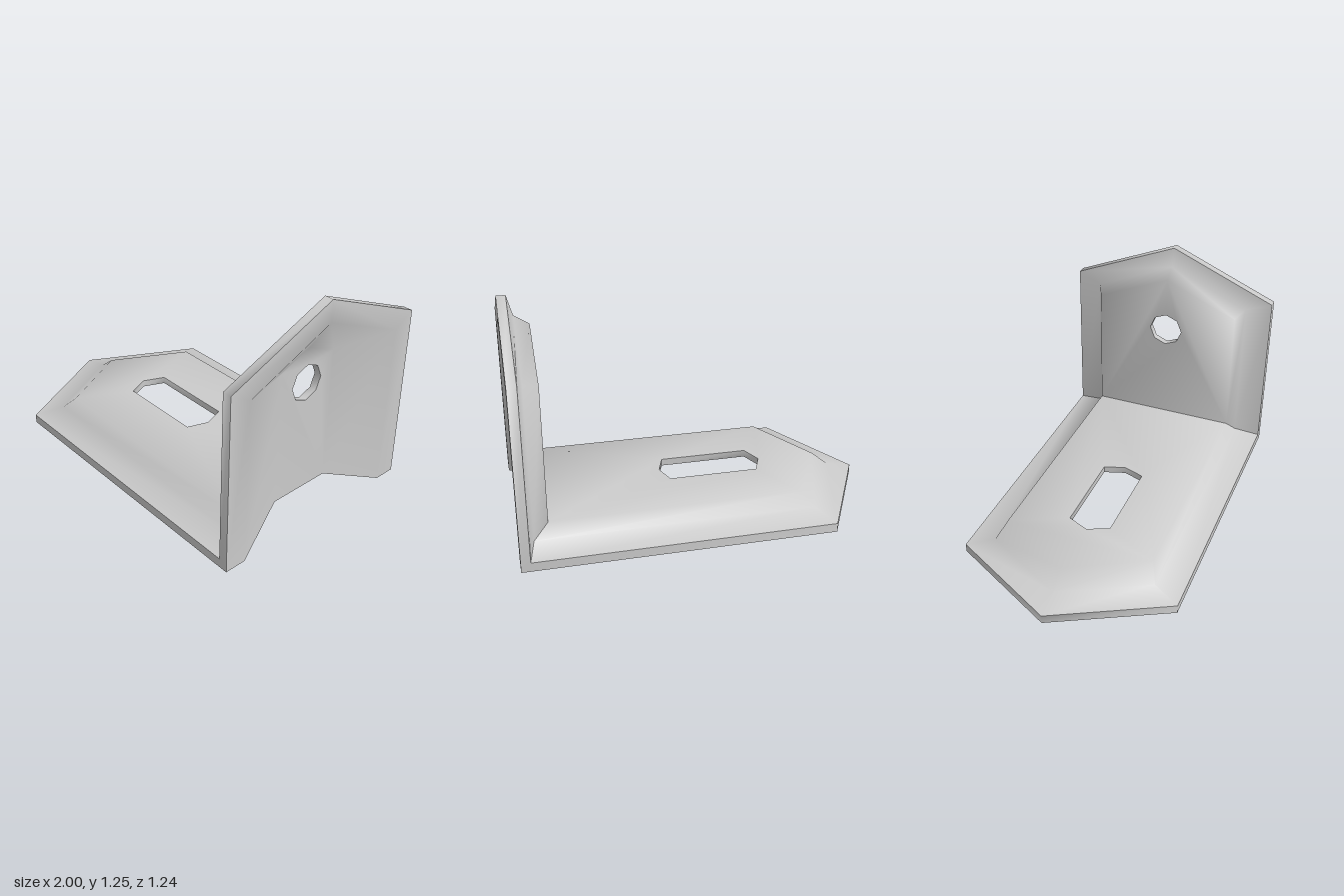
import * as THREE from 'three';
import { toCreasedNormals } from 'three/addons/utils/BufferGeometryUtils.js';

// Each leg is lofted in leg space: u = distance from the bend, w = width, h = height of the pressing.
// Rings run from the hollow underside, around the rim, up to the raised plateau.
const RINGS = [
  { w: 0.18, h: 0.12 }, // hollow plateau
  { w: 0.5, h: 0 },     // inner rim
  { w: 0.62, h: 0 },    // outer rim, lower edge
  { w: 0.62, h: 0.05 }, // outer rim, upper edge
  { w: 0.47, h: 0.08 }, // foot of the step
  { w: 0.43, h: 0.16 }, // raised plateau
];

// tip: leg length, drop: how far the shoulders sit behind the tip,
// insets: how far each ring stays behind the tip, hole: outline in (u, w)
function legGeometry({ tip, drop, insets, hole, place, mirrored }) {
  const pos = [];
  const tri = (a, b, c) => {
    for (const p of mirrored ? [a, c, b] : [a, b, c]) pos.push(...place(...p));
  };
  const quad = (a, b, c, d) => { tri(a, b, c); tri(a, c, d); };

  // Pentagonal rings, open at the 45 degree mitre where u = h
  const rings = RINGS.map(({ w, h }, i) => {
    const end = tip - insets[i];
    const shoulder = end - drop * (w / 0.62);
    return [[h, -w, h], [shoulder, -w, h], [end, 0, h], [shoulder, w, h], [h, w, h]];
  });
  for (let r = 0; r < rings.length - 1; r++) {
    const a = rings[r], b = rings[r + 1];
    for (let i = 0; i < 4; i++) quad(a[i], a[i + 1], b[i + 1], b[i]);
  }

  // Plateau faces with the hole cut out
  const cap = (ring, flip) => {
    const h = ring[0][2];
    const contour = ring.map(([u, w]) => new THREE.Vector2(u, w));
    const cut = hole.map(([u, w]) => new THREE.Vector2(u, w));
    const all = [...contour, ...cut].map((p) => [p.x, p.y, h]);
    for (const [a, b, c] of THREE.ShapeUtils.triangulateShape(contour, [cut])) {
      if (flip) tri(all[a], all[c], all[b]);
      else tri(all[a], all[b], all[c]);
    }
  };
  cap(rings[0], true);
  cap(rings[rings.length - 1], false);

  // Wall of the hole
  hole.forEach(([u, w], i) => {
    const [u2, w2] = hole[(i + 1) % hole.length];
    quad([u2, w2, 0.12], [u, w, 0.12], [u, w, 0.16], [u2, w2, 0.16]);
  });

  const geometry = new THREE.BufferGeometry();
  geometry.setAttribute('position', new THREE.Float32BufferAttribute(pos, 3));
  return toCreasedNormals(geometry, 1.2);
}

export function createModel() {
  const group = new THREE.Group();
  group.name = 'angleBracket';
  const material = new THREE.MeshStandardMaterial({ color: 0xcccccc });
  const add = (name, options) => {
    const mesh = new THREE.Mesh(legGeometry(options), material);
    mesh.name = name;
    group.add(mesh);
  };

  // Long flat leg with a slot
  add('horizontalLeg', {
    tip: 2, drop: 0.325,
    insets: [0.35, 0.13, 0, 0, 0.15, 0.25],
    hole: [[0.83, 0], [0.87, -0.12], [1.37, -0.12], [1.42, 0], [1.37, 0.12], [0.87, 0.12]],
    place: (u, w, h) => [1 - u, h, w],
    mirrored: false,
  });

  // Short upright leg with an octagonal bolt hole
  const boltHole = [];
  for (let i = 0; i < 8; i++) {
    const a = (i / 8) * Math.PI * 2;
    boltHole.push([0.755 + 0.1 * Math.cos(a), 0.1 * Math.sin(a)]);
  }
  add('uprightLeg', {
    tip: 1.25, drop: 0.26,
    insets: [0.3, 0.12, 0, 0, 0.11, 0.16],
    hole: boltHole,
    place: (u, w, h) => [1 - h, u, w],
    mirrored: true,
  });
  return group;
}
